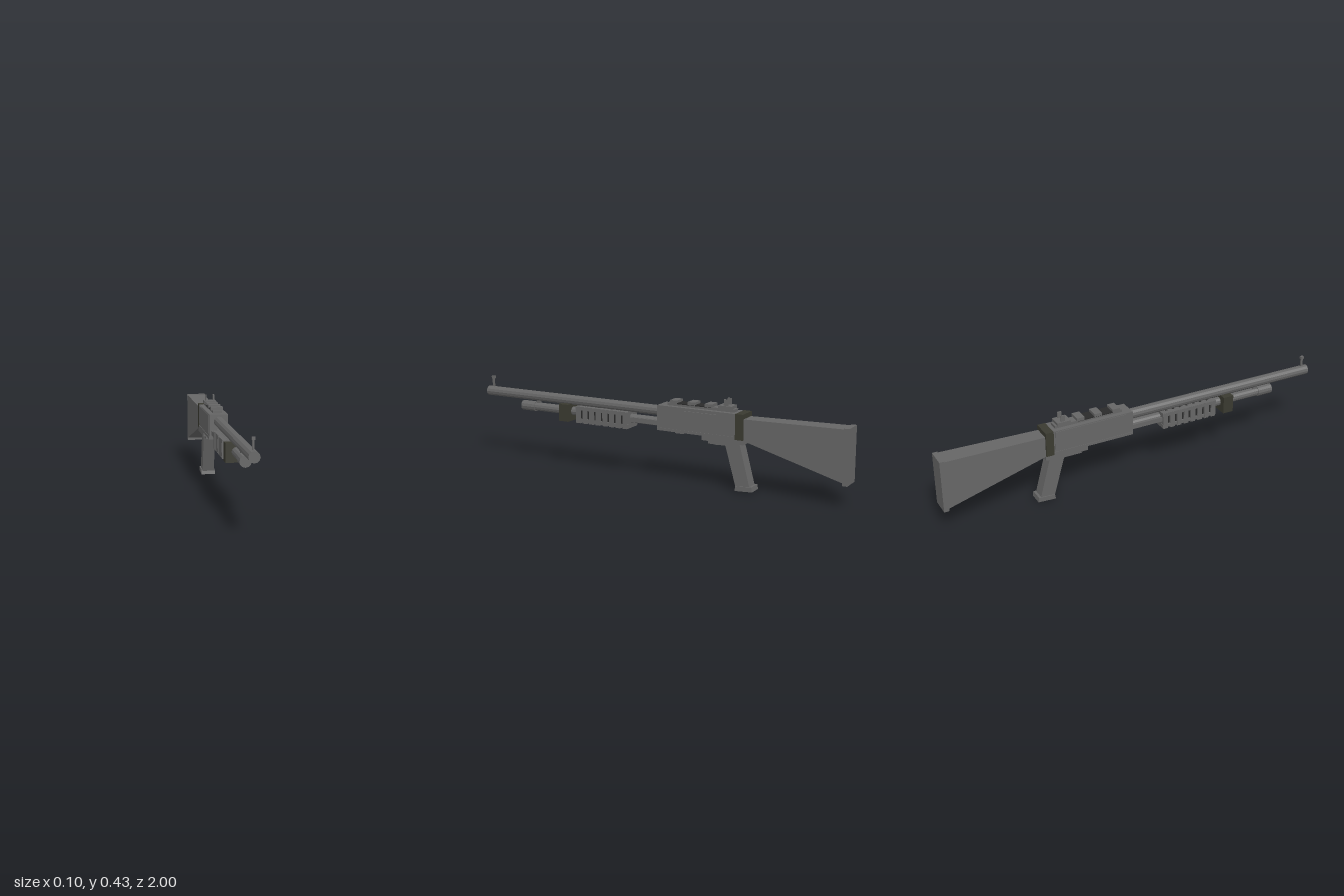
import * as THREE from 'three';

export function createModel() {
  const model = new THREE.Group();
  const mat = (name, color) => {
    const m = new THREE.MeshStandardMaterial({ color, flatShading: true });
    m.name = name;
    return m;
  };
  const steel = mat('grey steel', 0x666666);
  const olive = mat('dark olive', 0x3a3a30);
  const dark = mat('near black', 0x2a2a2a);

  const add = (name, geometry, material) => {
    const mesh = new THREE.Mesh(geometry, material);
    mesh.name = name;
    model.add(mesh);
    return mesh;
  };
  // Box given by its extents on each axis
  const box = (name, [x0, x1], [y0, y1], [z0, z1], material = steel) => {
    const g = new THREE.BoxGeometry(x1 - x0, y1 - y0, z1 - z0);
    g.translate((x0 + x1) / 2, (y0 + y1) / 2, (z0 + z1) / 2);
    return add(name, g, material);
  };
  // Cylinder lying along z
  const tube = (name, r, y, z0, z1, sides = 12) => {
    const g = new THREE.CylinderGeometry(r, r, z1 - z0, sides);
    g.rotateX(Math.PI / 2).translate(0, y, (z0 + z1) / 2);
    return add(name, g, steel);
  };
  // Side outline in (z, y), extruded symmetrically across x
  const profile = (name, points, halfWidth, material = steel) => {
    const shape = new THREE.Shape(points.map(([z, y]) => new THREE.Vector2(-z, y)));
    const g = new THREE.ExtrudeGeometry(shape, { depth: halfWidth * 2, bevelEnabled: false });
    g.translate(0, 0, -halfWidth).rotateY(Math.PI / 2);
    return add(name, g, material);
  };

  // Barrel with front sight
  tube('barrel', 0.025, 0.337, -0.04, 1);
  box('frontSightPost', [-0.004, 0.004], [0.355, 0.408], [0.966, 0.976]);
  box('frontSightBead', [-0.007, 0.007], [0.403, 0.416], [0.963, 0.979]);

  // Lower tube with end cap and pin
  tube('lowerTube', 0.022, 0.281, -0.04, 0.72);
  tube('lowerTubeCap', 0.026, 0.281, 0.7, 0.78);
  box('capPin', [-0.007, 0.007], [0.3, 0.315], [0.675, 0.695]);

  // Clamp joining both tubes
  box('clamp', [-0.049, 0.049], [0.233, 0.32], [0.475, 0.53], olive);

  // Ribbed sliding fore grip
  box('foreGripCore', [-0.04, 0.04], [0.243, 0.31], [0.135, 0.425], dark);
  for (const s of [-1, 1]) {
    const side = (a, b) => (s > 0 ? [a, b] : [-b, -a]);
    box('foreGripUpperRail', side(0.026, 0.048), [0.3, 0.318], [0.13, 0.43]);
    box('foreGripLowerRail', side(0.026, 0.048), [0.24, 0.256], [0.13, 0.43]);
    box('actionBar', side(0.029, 0.036), [0.27, 0.293], [-0.04, 0.14]);
  }
  for (let i = 0; i < 8; i++) {
    const z = 0.145 + i * 0.0386;
    box('foreGripRib', [-0.049, 0.049], [0.234, 0.316], [z - 0.0125, z + 0.0125]);
  }

  // Receiver body, side panels and loading port
  box('receiver', [-0.046, 0.046], [0.25, 0.372], [-0.45, -0.035]);
  box('receiverBelt', [-0.048, 0.048], [0.25, 0.263], [-0.45, -0.035]);
  box('leftPortCover', [0.046, 0.051], [0.297, 0.358], [-0.35, -0.17]);
  box('rightPanel', [-0.049, -0.046], [0.275, 0.367], [-0.44, -0.07]);
  box('loadingPort', [-0.03, 0.03], [0.246, 0.252], [-0.26, -0.11], dark);
  box('portLatch', [0.03, 0.042], [0.244, 0.252], [-0.175, -0.13]);
  box('rearCollar', [-0.049, 0.049], [0.25, 0.373], [-0.488, -0.448], olive);

  // Trigger group beneath the receiver
  box('triggerHousing', [-0.046, 0.046], [0.228, 0.251], [-0.49, -0.275]);
  box('triggerPlate', [-0.03, 0.03], [0.211, 0.229], [-0.41, -0.3]);
  box('trigger', [-0.005, 0.005], [0.203, 0.215], [-0.345, -0.325]);

  // Slanted pistol grip
  profile('grip', [[-0.385, 0.235], [-0.462, 0.235], [-0.52, 0.018], [-0.447, 0.018]], 0.03);
  profile('gripBase', [[-0.448, 0.023], [-0.53, 0.028], [-0.534, 0.005], [-0.444, 0]], 0.035);

  // Top rail with cross teeth
  box('railBase', [-0.023, 0.023], [0.37, 0.386], [-0.43, -0.08]);
  box('railInset', [-0.029, 0.029], [0.383, 0.388], [-0.31, -0.13], dark);
  for (const z of [-0.115, -0.21, -0.3, -0.385]) {
    const half = z < -0.35 ? 0.035 : 0.019;
    box('railTooth', [-0.03, 0.03], [0.385, 0.4], [z - half, z + half]);
  }

  // Rear sight
  for (const x of [-0.02, 0.02]) {
    box('rearSightPost', [x - 0.0035, x + 0.0035], [0.398, 0.43], [-0.397, -0.377]);
  }

  // Shoulder stock, narrower toward the receiver
  const stock = profile('stock',
    [[-0.485, 0.35], [-0.985, 0.36], [-0.985, 0.112], [-0.485, 0.248]], 0.048);
  const p = stock.geometry.attributes.position;
  for (let i = 0; i < p.count; i++) {
    if (p.getZ(i) > -0.6) p.setX(i, p.getX(i) * 0.85);
  }
  stock.geometry.computeVertexNormals();
  box('buttPlate', [-0.049, 0.049], [0.102, 0.364], [-1, -0.975]);

  return model;
}
